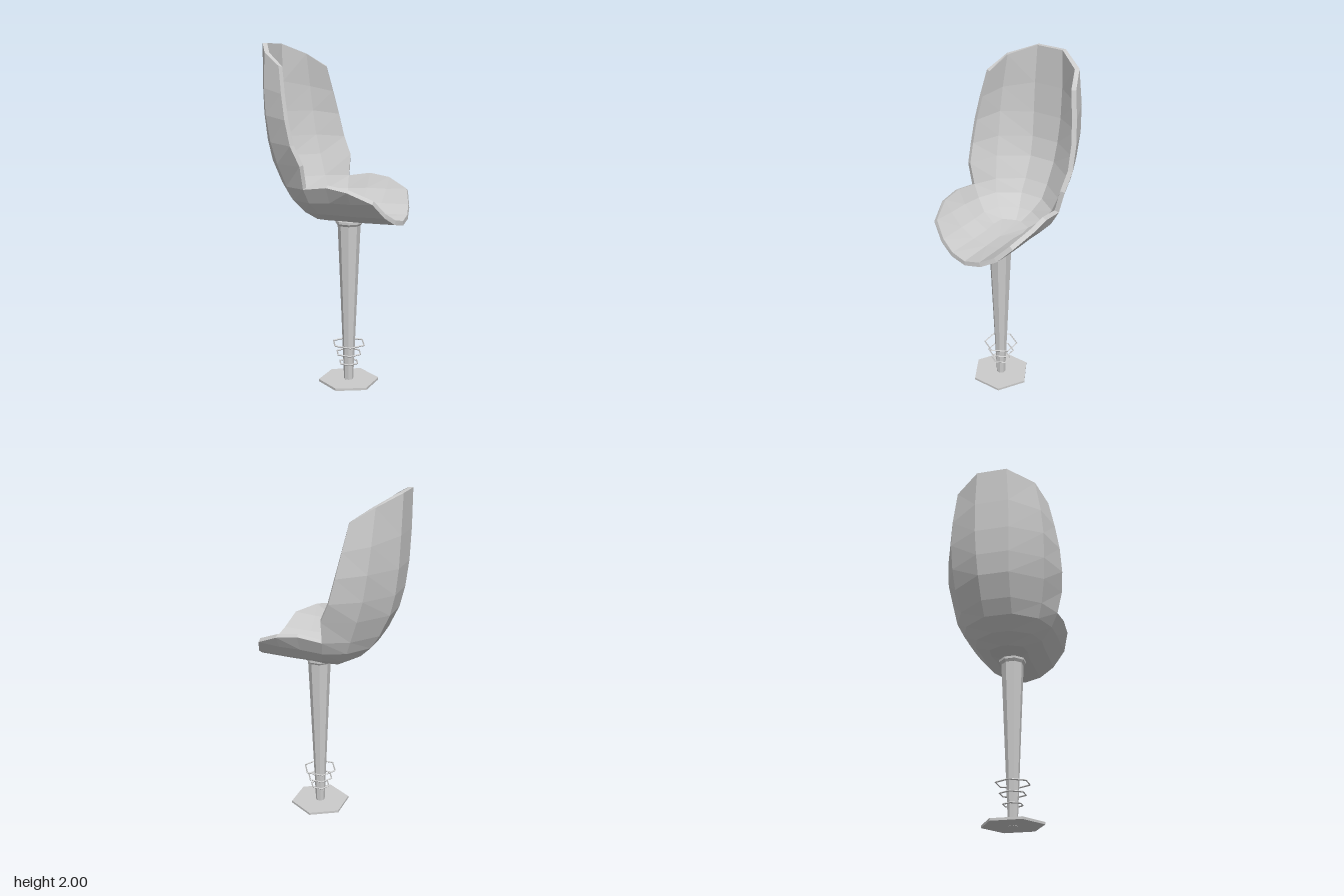
import * as THREE from 'three';

const STEM_X = 0.085;
const material = new THREE.MeshStandardMaterial({ color: 0xcccccc, flatShading: true });
const shellMaterial = new THREE.MeshStandardMaterial({ color: 0xcccccc, flatShading: true, side: THREE.DoubleSide });

// Half rings of the bucket's outer skin, from the keel up. Each runs from the
// back to the front on the +z side; the other side is mirrored.
const RINGS = [
  [[0.09, 0.985, 0], [0.09, 0.985, 0], [0.09, 0.985, 0], [0.09, 0.985, 0], [0.215, 0.985, 0], [0.42, 0.985, 0]],
  [[-0.11, 1.0, 0.02], [-0.07, 1.0, 0.1], [0.01, 1.0, 0.11], [0.09, 1.0, 0.1], [0.215, 1.0, 0.1], [0.41, 1.005, 0.1]],
  [[-0.19, 1.05, 0.05], [-0.12, 1.05, 0.165], [-0.01, 1.05, 0.2], [0.09, 1.05, 0.195], [0.215, 1.05, 0.195], [0.385, 1.055, 0.19]],
  [[-0.26, 1.12, 0.08], [-0.165, 1.12, 0.215], [-0.04, 1.12, 0.265], [0.09, 1.13, 0.27], [0.215, 1.13, 0.27], [0.345, 1.14, 0.27]],
  [[-0.31, 1.2, 0.085], [-0.195, 1.2, 0.24], [-0.055, 1.2, 0.305], [0.09, 1.22, 0.315], [0.215, 1.2, 0.315], [0.345, 1.14, 0.27]],
  [[-0.37, 1.33, 0.09], [-0.24, 1.33, 0.265], [-0.06, 1.33, 0.335]],
  [[-0.398, 1.45, 0.095], [-0.275, 1.45, 0.275], [-0.11, 1.44, 0.35]],
  [[-0.415, 1.6, 0.1], [-0.3, 1.6, 0.28], [-0.145, 1.58, 0.345]],
  [[-0.422, 1.78, 0.1], [-0.315, 1.75, 0.27], [-0.175, 1.72, 0.325]],
  [[-0.425, 2.0, 0.09], [-0.325, 1.945, 0.24], [-0.205, 1.87, 0.295]],
];

// Skin the rings, offset them inwards for thickness and close the rim
function createShell(thickness) {
  const points = [], lookup = new Map();
  const indexOf = (p) => {
    const key = p.join();
    if (!lookup.has(key)) {
      lookup.set(key, points.length);
      points.push(new THREE.Vector3(...p));
    }
    return lookup.get(key);
  };
  const at = (ring, i) => {
    const [x, y, z] = RINGS[ring][i < 0 ? -i - 1 : i];
    return indexOf([x, y, i < 0 && z ? -z : z]);
  };

  const outer = [];
  const addTriangle = (a, b, c) => {
    if (a !== b && b !== c && c !== a) outer.push([a, b, c]);
  };
  for (let r = 0; r < RINGS.length - 1; r++) {
    const n = RINGS[r + 1].length;
    for (let i = -n; i < n - 1; i++) {
      const a = at(r, i), b = at(r, i + 1), c = at(r + 1, i + 1), d = at(r + 1, i);
      if (i < 0) {
        addTriangle(a, b, d);
        addTriangle(b, c, d);
      } else {
        addTriangle(a, b, c);
        addTriangle(a, c, d);
      }
    }
  }

  const skin = new THREE.BufferGeometry().setFromPoints(points);
  skin.setIndex(outer.flat());
  skin.computeVertexNormals();
  const normals = skin.getAttribute('normal');
  const count = points.length;
  const inside = points.map((p, i) =>
    new THREE.Vector3().fromBufferAttribute(normals, i).multiplyScalar(-thickness).add(p));

  const faces = [...outer, ...outer.map(([a, b, c]) => [a + count, c + count, b + count])];
  // Edges used by one triangle only form the rim
  const edges = new Set(outer.flatMap(([a, b, c]) => [`${a},${b}`, `${b},${c}`, `${c},${a}`]));
  for (const edge of edges) {
    const [a, b] = edge.split(',').map(Number);
    if (!edges.has(`${b},${a}`)) faces.push([b, a, a + count], [b, a + count, b + count]);
  }
  // Keep the rim's height level with the outer edge
  const top = Math.max(...points.map((p) => p.y));
  inside.forEach((p) => { p.y = Math.min(p.y, top); });

  const geometry = new THREE.BufferGeometry().setFromPoints([...points, ...inside]);
  geometry.setIndex(faces.flat());
  const flat = geometry.toNonIndexed();
  flat.computeVertexNormals();
  return flat;
}

export function createModel() {
  const group = new THREE.Group();
  const add = (name, geometry, y, mat = material, x = STEM_X) => {
    const mesh = new THREE.Mesh(geometry, mat);
    mesh.name = name;
    mesh.position.set(x, y, 0);
    group.add(mesh);
    return mesh;
  };
  const octagon = (rTop, rBottom, height) =>
    new THREE.CylinderGeometry(rTop, rBottom, height, 8).rotateY(Math.PI / 8);

  add('bucketSeat', createShell(0.027), 0, shellMaterial, 0);

  // Tapered pedestal with a collar under the seat
  add('stem', octagon(0.068, 0.027, 0.985), 0.4925);
  add('collarTop', octagon(0.081, 0.081, 0.014), 0.981);
  add('collarNeck', octagon(0.078, 0.068, 0.014), 0.967);

  // Hexagonal foot
  add('basePlate', new THREE.CylinderGeometry(0.18, 0.18, 0.014, 6), 0.009);

  // Three thin hexagonal foot rings, widening upwards
  [[0.12, 0.058], [0.18, 0.077], [0.24, 0.1]].forEach(([y, radius], i) => {
    add(`footRing${i + 1}`, new THREE.TorusGeometry(radius, 0.005, 4, 6).rotateX(Math.PI / 2), y);
  });

  return group;
}
